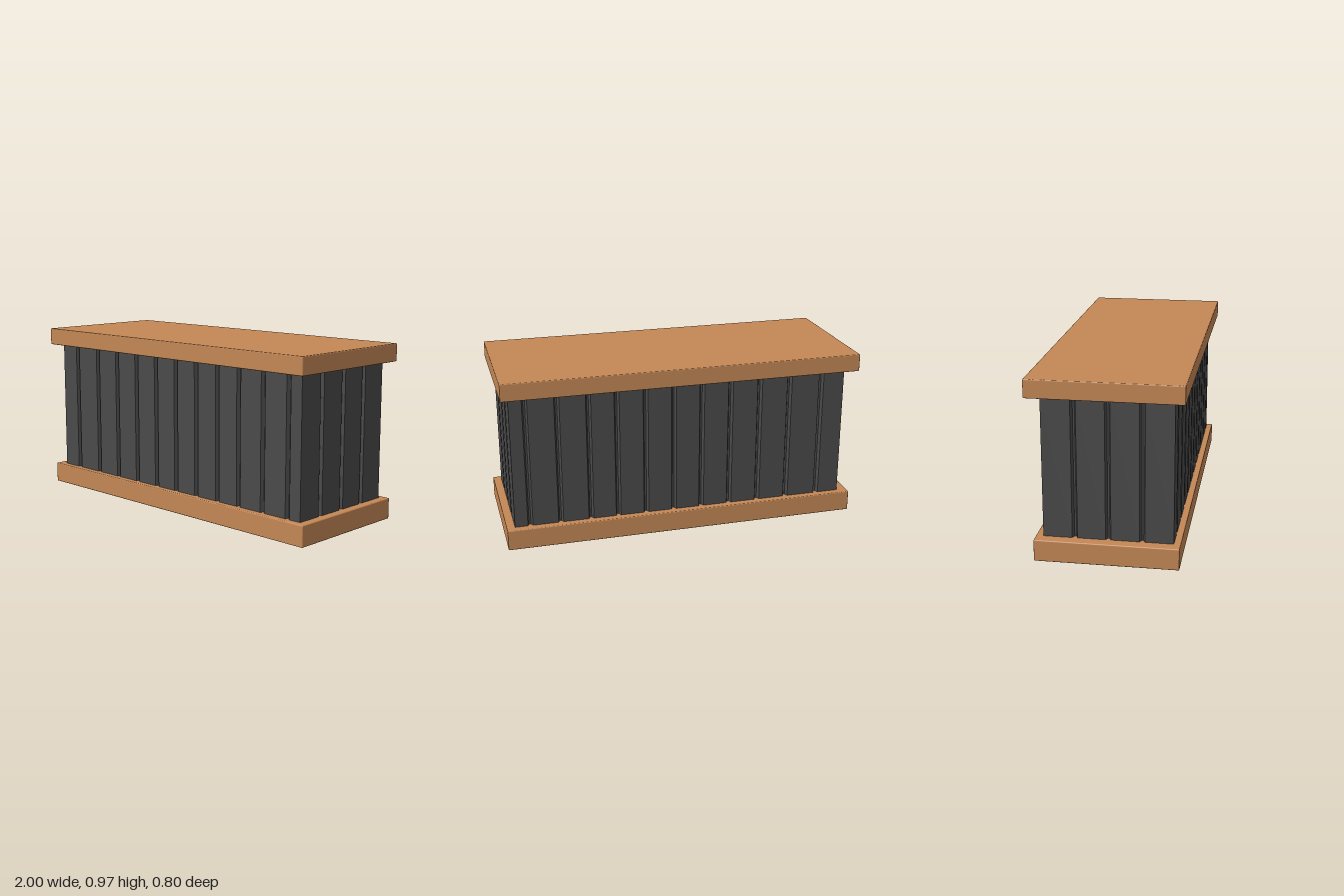
import * as THREE from 'three';
import { RoundedBoxGeometry } from 'three/addons/geometries/RoundedBoxGeometry.js';

export function createModel() {
  const model = new THREE.Group();
  model.name = 'counter';

  const wood = new THREE.MeshStandardMaterial({ color: 0xc48755 });
  wood.name = 'warm wood';
  const charcoal = new THREE.MeshStandardMaterial({ color: 0x4a4a4a });
  charcoal.name = 'charcoal planks';

  // Wooden slabs with slightly softened edges
  function slab(name, y0, y1, z0, z1) {
    const geo = new RoundedBoxGeometry(2, y1 - y0, z1 - z0, 1, 0.006);
    const mesh = new THREE.Mesh(geo, wood);
    mesh.name = name;
    mesh.position.set(0, (y0 + y1) / 2, (z0 + z1) / 2);
    model.add(mesh);
  }
  slab('base', 0, 0.117, -0.37, 0.38);
  slab('worktop', 0.87, 0.968, -0.4, 0.4);

  // Plank body: a plan outline with a narrow groove at every plank joint
  const left = -0.94, right = 0.955, front = 0.345, back = -0.33;
  const longJoints = [-0.805, -0.615, -0.44, -0.27, -0.105, 0.055, 0.215, 0.375, 0.53, 0.7, 0.87];
  const shortJoints = [-0.165, 0.008, 0.183];
  const half = 0.014, floor = 0.005, depth = 0.02;
  const outline = [];

  // Adds one wall; at(s, d) gives the point at s along the wall and d inside it
  function wall(start, joints, direction, at) {
    outline.push(at(start, 0));
    for (const j of joints) {
      outline.push(
        at(j - direction * half, 0), at(j - direction * floor, depth),
        at(j + direction * floor, depth), at(j + direction * half, 0));
    }
  }
  // Shape y is -z, so the extrusion stands up after turning about x
  wall(left, longJoints, 1, (s, d) => new THREE.Vector2(s, -front + d));
  wall(front, [...shortJoints].reverse(), -1, (s, d) => new THREE.Vector2(right - d, -s));
  wall(right, [...longJoints].reverse(), -1, (s, d) => new THREE.Vector2(s, -back - d));
  wall(back, shortJoints, 1, (s, d) => new THREE.Vector2(left + d, -s));

  const geo = new THREE.ExtrudeGeometry(new THREE.Shape(outline), { depth: 0.77, bevelEnabled: false });
  geo.rotateX(-Math.PI / 2);
  const body = new THREE.Mesh(geo, charcoal);
  body.name = 'plankBody';
  body.position.y = 0.11;
  model.add(body);

  return model;
}
